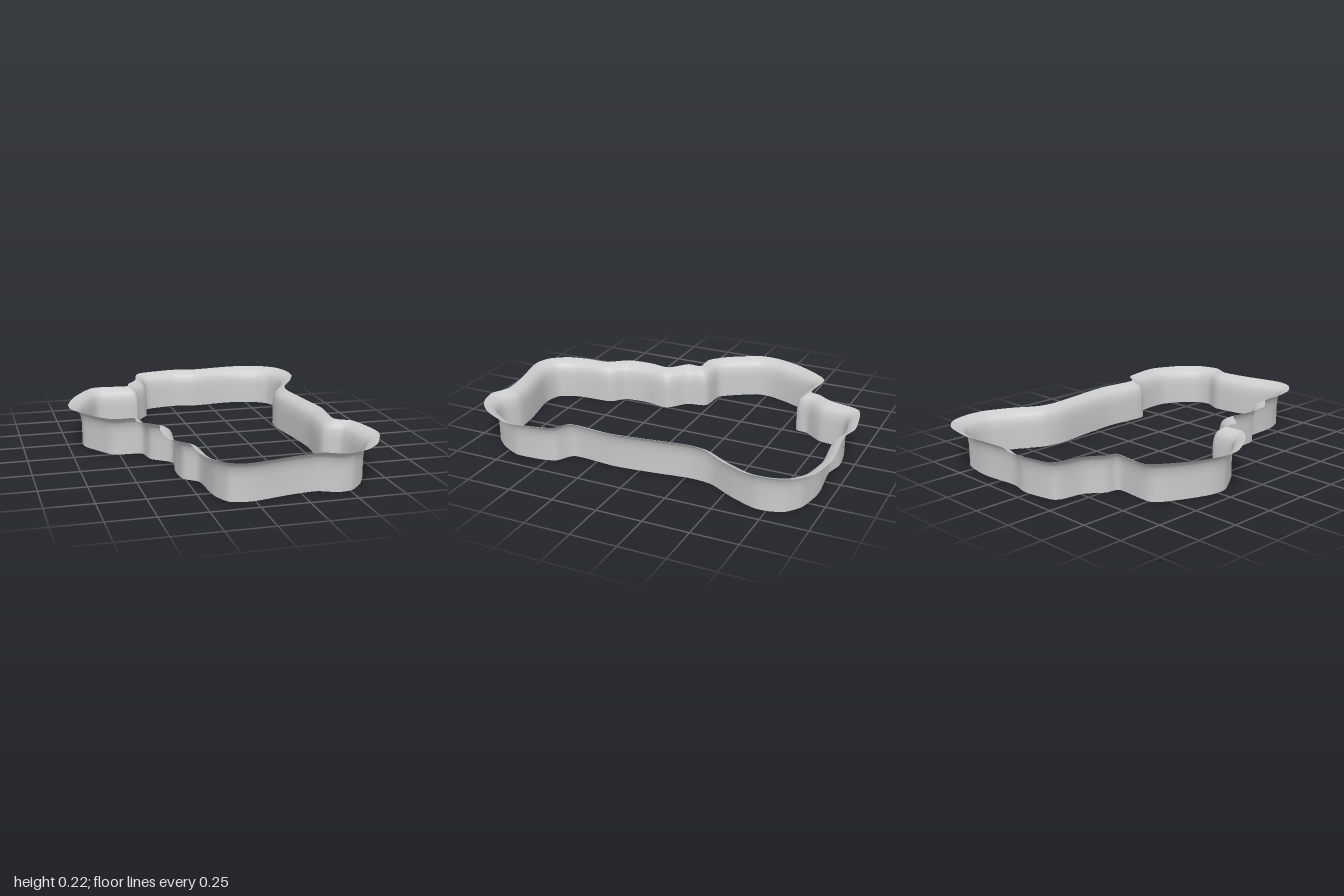
import * as THREE from 'three';

// Plan outlines as x, z pairs; the two lists run point for point together.
const WALL = [
  -0.16, -0.89, 0.03, -0.93, 0.15, -0.905, 0.35, -0.925, 0.44, -0.92, 0.55, -0.895, 0.625, -0.84,
  0.655, -0.765, 0.655, -0.68, 0.6, -0.545, 0.52, -0.4, 0.505, -0.275, 0.53, -0.08, 0.55, 0.14,
  0.535, 0.385, 0.62, 0.45, 0.645, 0.53, 0.65, 0.68, 0.59, 0.8, 0.515, 0.88, 0.435, 0.895,
  0.335, 0.855, 0.19, 0.87, 0.01, 0.91, -0.065, 0.91, -0.13, 0.885, -0.17, 0.795, -0.18, 0.715,
  -0.19, 0.57, -0.26, 0.5, -0.27, 0.37, -0.25, 0.225, -0.35, 0.135, -0.38, 0.025, -0.52, 0.01,
  -0.57, -0.04, -0.66, -0.185, -0.66, -0.29, -0.605, -0.435, -0.515, -0.575, -0.29, -0.57,
  -0.265, -0.645, -0.195, -0.74,
];
const RIM = [
  -0.2, -0.95, 0.03, -1, 0.15, -0.975, 0.35, -0.995, 0.44, -1, 0.6, -0.97, 0.7, -0.89,
  0.735, -0.78, 0.73, -0.66, 0.67, -0.52, 0.59, -0.39, 0.575, -0.28, 0.6, -0.08, 0.627, 0.14,
  0.61, 0.365, 0.69, 0.43, 0.72, 0.53, 0.735, 0.68, 0.655, 0.85, 0.56, 0.94, 0.44, 0.975,
  0.335, 0.93, 0.19, 0.945, 0.01, 0.985, -0.07, 0.995, -0.155, 0.965, -0.225, 0.87, -0.25, 0.74,
  -0.255, 0.62, -0.335, 0.51, -0.345, 0.37, -0.33, 0.25, -0.425, 0.165, -0.43, 0.085, -0.54, 0.08,
  -0.63, 0, -0.73, -0.17, -0.735, -0.29, -0.675, -0.46, -0.54, -0.645, -0.34, -0.635,
  -0.315, -0.69, -0.255, -0.78,
];

// Height and share of the way from wall to rim: upright, then flaring out.
const PROFILE = [
  [0, 0], [0.06, 0], [0.12, 0.01], [0.15, 0.05], [0.175, 0.13], [0.192, 0.26],
  [0.205, 0.48], [0.215, 0.72], [0.223, 1],
];

// Closed, gently rounded loop through the outline points.
function loop(flat) {
  const pts = [];
  for (let i = 0; i < flat.length; i += 2) pts.push(new THREE.Vector3(flat[i], 0, flat[i + 1]));
  return new THREE.CatmullRomCurve3(pts, true, 'catmullrom', 0.35);
}

// Skin of stacked cross-sections between the wall and rim outlines.
function flaredBand() {
  const wall = loop(WALL), rim = loop(RIM);
  const n = (WALL.length / 2) * 5;
  const positions = [], index = [];
  PROFILE.forEach(([y, flare], row) => {
    for (let i = 0; i < n; i++) {
      const p = wall.getPoint(i / n).lerp(rim.getPoint(i / n), flare);
      positions.push(p.x, y, p.z);
      if (row === 0) continue;
      const next = (i + 1) % n;
      const a = (row - 1) * n + i, b = (row - 1) * n + next;
      const c = row * n + i, d = row * n + next;
      index.push(a, c, b, b, c, d);
    }
  });
  const geometry = new THREE.BufferGeometry();
  geometry.setAttribute('position', new THREE.Float32BufferAttribute(positions, 3));
  geometry.setIndex(index);
  geometry.computeVertexNormals();
  return geometry;
}

export function createModel() {
  const group = new THREE.Group();
  group.name = 'cutterRing';
  const material = new THREE.MeshStandardMaterial({ color: 0xcccccc, side: THREE.DoubleSide });
  const band = new THREE.Mesh(flaredBand(), material);
  band.name = 'flaredWall';
  group.add(band);
  return group;
}
